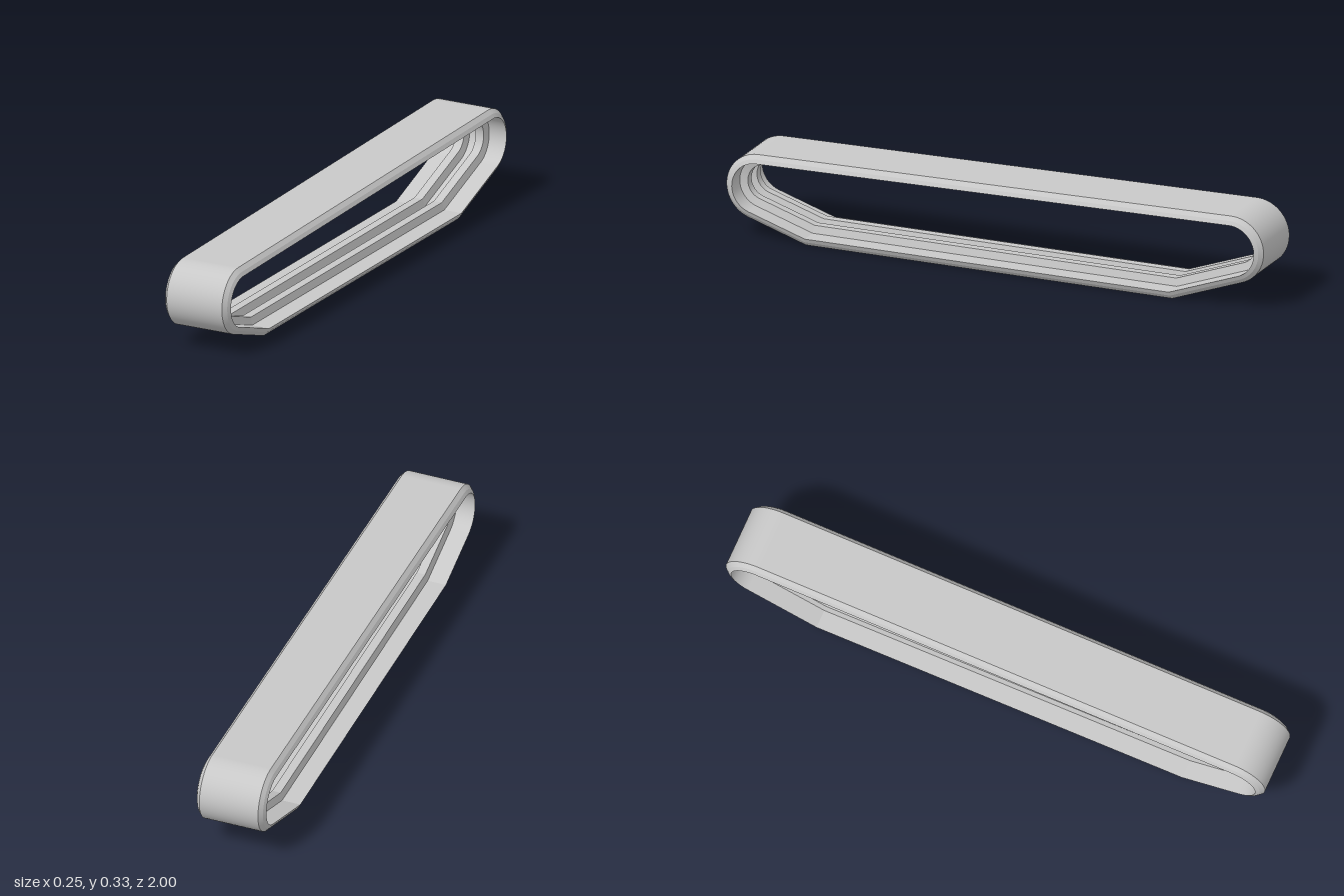
import * as THREE from 'three';

const rad = THREE.MathUtils.degToRad;

// Side outline: (z, y), inward offset direction (oz, oy) and shading normal (nz, ny)
function trackPath() {
  const path = [];
  const arc = (z, y, r, from, to, steps) => {
    for (let i = 0; i <= steps; i++) {
      const a = rad(from + (to - from) * i / steps), c = Math.cos(a), s = Math.sin(a);
      path.push({ z: z + r * c, y: y + r * s, oz: c, oy: s, nz: c, ny: s });
    }
  };
  // mitred corner between two straight runs, doubled to keep it sharp
  const corner = (z, y, a0, a1) => {
    const mid = rad((a0 + a1) / 2), k = 1 / Math.cos(rad((a1 - a0) / 2));
    for (const a of [rad(a0), rad(a1)])
      path.push({ z, y, oz: k * Math.cos(mid), oy: k * Math.sin(mid), nz: Math.cos(a), ny: Math.sin(a) });
  };
  arc(0.882, 0.182, 0.118, -71.5, 89.2, 28);  // front bend
  arc(-0.88, 0.207, 0.12, 89.2, 250.2, 28);   // rear bend
  corner(-0.66, 0, 250.2, 270);
  corner(0.705, 0, 270, 288.5);
  return path;
}

// Half of the band's section as (x, depth below the outer face)
const half = [
  [0.107, 0], [0.12, 0.014], [0.127, 0.028],  // rounded outer edge
  [0.06, 0.028],                              // flat inner face
  [0.053, 0.055], [0.022, 0.055],             // guide ridge
  [0.015, 0.028],                             // centre channel
];

function bandGeometry() {
  const section = [...half, ...half.map(([x, d]) => [-x, d]).reverse()];
  const path = trackPath(), positions = [], normals = [];
  path.forEach((p, i) => {
    const q = path[(i + 1) % path.length];
    if (p.z === q.z && p.y === q.y) return;
    section.forEach(([x0, d0], j) => {
      const [x1, d1] = section[(j + 1) % section.length];
      const len = Math.hypot(x1 - x0, d1 - d0);
      const side = (d1 - d0) / len, out = (x1 - x0) / len;
      const add = (s, x, d) => {
        positions.push(x, s.y - s.oy * d, s.z - s.oz * d);
        normals.push(side, out * s.ny, out * s.nz);
      };
      add(p, x0, d0); add(p, x1, d1); add(q, x1, d1);
      add(p, x0, d0); add(q, x1, d1); add(q, x0, d0);
    });
  });
  const geometry = new THREE.BufferGeometry();
  geometry.setAttribute('position', new THREE.Float32BufferAttribute(positions, 3));
  geometry.setAttribute('normal', new THREE.Float32BufferAttribute(normals, 3));
  return geometry;
}

export function createModel() {
  const group = new THREE.Group();
  group.name = 'track';
  const rubber = new THREE.MeshStandardMaterial({ color: 0xc8c8c8 });
  rubber.name = 'light grey rubber';
  const band = new THREE.Mesh(bandGeometry(), rubber);
  band.name = 'trackBand';
  group.add(band);
  return group;
}
